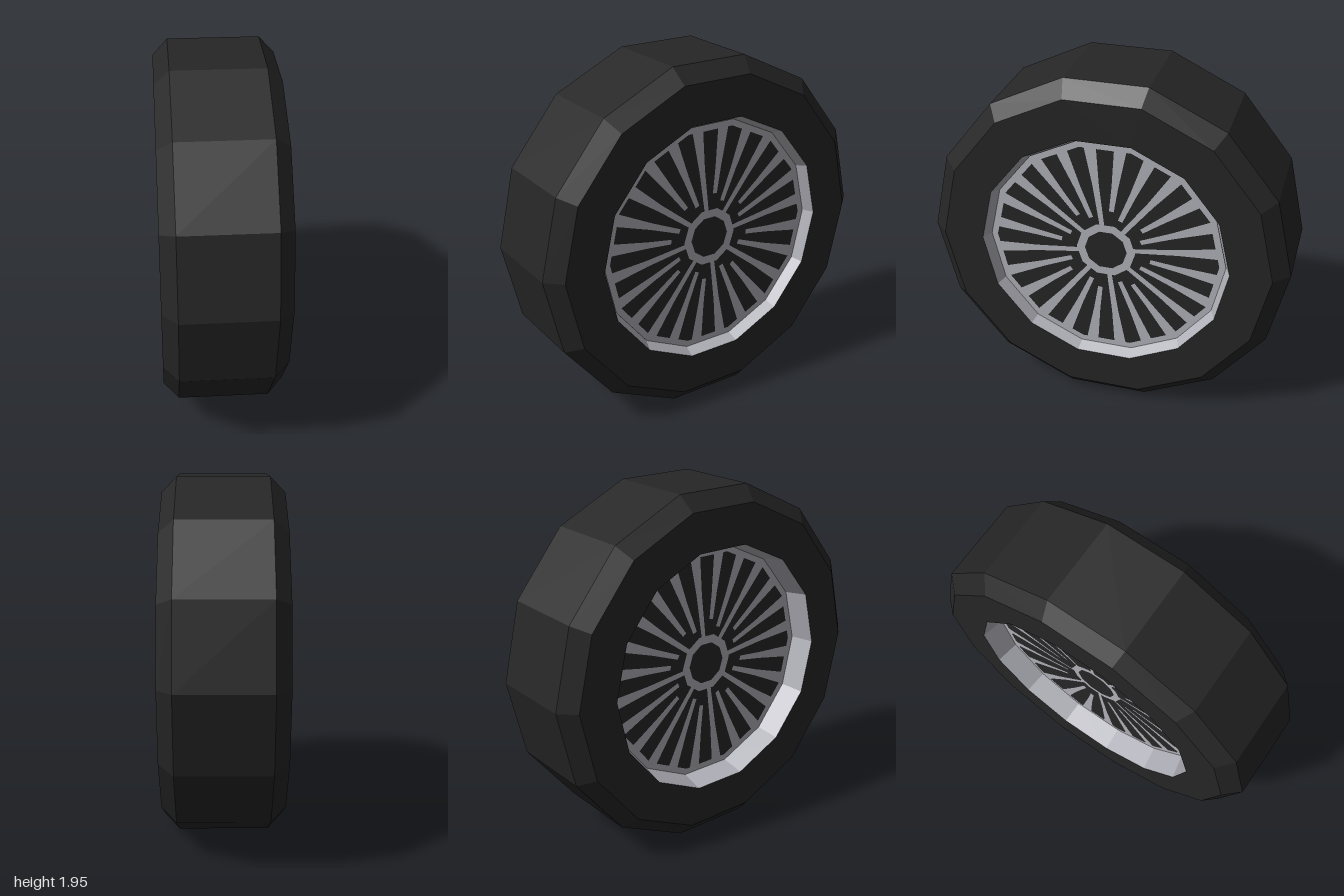
import * as THREE from 'three';
import { mergeGeometries } from 'three/addons/utils/BufferGeometryUtils.js';

const SIDES = 14;
const CENTRE_Y = Math.cos(Math.PI / SIDES); // the wheel rests on a flat facet

export function createModel() {
  const rubber = new THREE.MeshStandardMaterial({ color: 0x262626, flatShading: true });
  rubber.name = 'dark rubber';
  const silver = new THREE.MeshStandardMaterial({ color: 0xb2b2ba, flatShading: true });
  silver.name = 'silver metal';

  const wheel = new THREE.Group();
  wheel.name = 'wheel';
  wheel.position.y = CENTRE_Y;

  // Revolve [radius, x] points around the axle
  const revolve = (name, points, material) => {
    const geometry = new THREE.LatheGeometry(points.map(p => new THREE.Vector2(...p)), SIDES);
    geometry.rotateZ(-Math.PI / 2);
    const mesh = new THREE.Mesh(geometry, material);
    mesh.name = name;
    wheel.add(mesh);
  };

  const OUTER = 0.26, INNER = -0.19; // depth of the two rim faces
  revolve('tyre', [
    [0.69, -0.325], [0.915, -0.325], [1, -0.245],
    [1, 0.245], [0.915, 0.325], [0.69, 0.325],
  ], rubber);
  revolve('innerRimWall', [[0.66, INNER], [0.69, -0.325]], silver);
  revolve('outerRimWall', [[0.69, 0.325], [0.66, OUTER]], silver);
  revolve('innerRimBacking', [[0, INNER], [0.66, INNER]], rubber);
  revolve('outerRimBacking', [[0.66, OUTER], [0, OUTER]], rubber);

  // Flat spoke pattern: edge ring, hub ring and tapered spokes
  const COUNT = 24, STARTS = [0.15, 0.21, 0.25];
  const pieces = [
    new THREE.RingGeometry(0.625, 0.66, SIDES),
    new THREE.RingGeometry(0.118, 0.165, 10),
  ];
  for (let i = 0; i < COUNT; i++) {
    const start = STARTS[i % 3];
    const spoke = new THREE.Shape([
      new THREE.Vector2(start, -0.013), new THREE.Vector2(0.4, -0.018),
      new THREE.Vector2(0.635, -0.034), new THREE.Vector2(0.635, 0.034),
      new THREE.Vector2(0.4, 0.018), new THREE.Vector2(start, 0.013),
    ]);
    pieces.push(new THREE.ShapeGeometry(spoke).rotateZ((i + 0.5) * Math.PI * 2 / COUNT));
  }
  const pattern = mergeGeometries(pieces);

  for (const [name, x, side] of [['outerSpokes', OUTER, 1], ['innerSpokes', INNER, -1]]) {
    const spokes = new THREE.Mesh(pattern, silver);
    spokes.name = name;
    spokes.rotation.y = side * Math.PI / 2;
    spokes.position.x = x + side * 0.005;
    wheel.add(spokes);
  }

  const model = new THREE.Group();
  model.name = 'model';
  model.add(wheel);
  return model;
}
